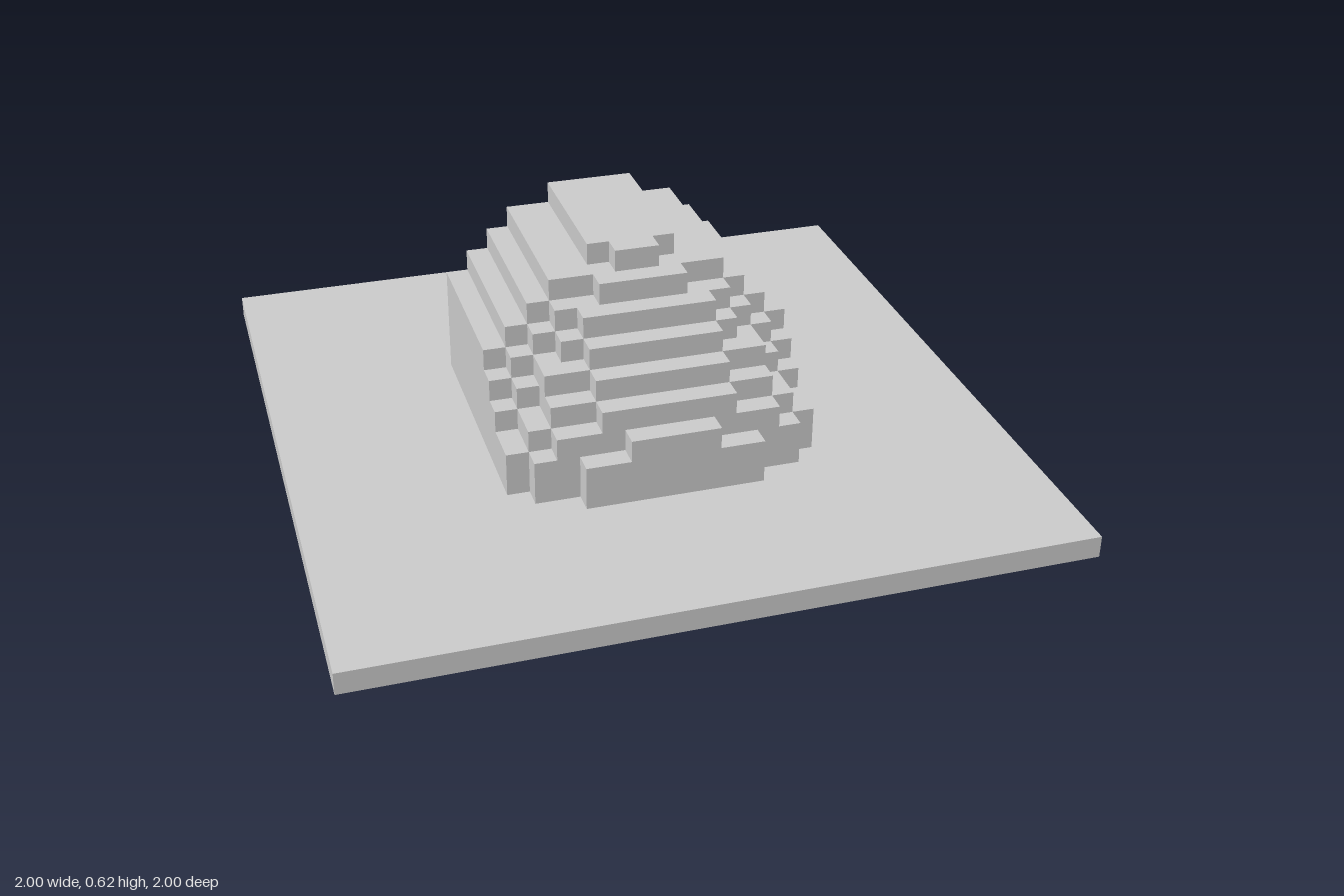
import * as THREE from 'three';
import { mergeGeometries } from 'three/addons/utils/BufferGeometryUtils.js';

const U = 1 / 16; // edge of one block
const BACK = -6, FRONT = 8, HALF = 7;

// Dome heights in blocks, from the middle outward, one row per step in z
const VAULT = [10, 10, 9, 9, 8, 7, 6];
const NOSE = [
  [10, 9, 9, 9, 8, 7, 6],
  [9, 9, 8, 8, 7, 6, 5],
  [8, 8, 8, 7, 6, 5, 4],
  [7, 7, 7, 6, 6, 4, 3],
  [6, 6, 6, 5, 5, 4, 3],
  [5, 5, 5, 4, 4, 3, 0],
  [4, 4, 3, 3, 0, 0, 0],
];

function height(x, z) {
  const i = x < 0 ? -x - 1 : x;
  if (i >= HALF || z >= FRONT || z < BACK) return 0;
  return z < 1 ? VAULT[i] : NOSE[z - 1][i];
}

const inside = (x, y, z) => y < height(x, z);

// A block belongs to the shell if it touches the air outside the dome
function isShell(x, y, z) {
  if (y < 1 || !inside(x, y, z)) return false;
  return !inside(x + 1, y, z) || !inside(x - 1, y, z) ||
    !inside(x, y + 1, z) || !inside(x, y, z + 1);
}

// Only the exposed sides of the blocks are built
function shellGeometry() {
  const dirs = [[1, 0, 0], [-1, 0, 0], [0, 1, 0], [0, -1, 0], [0, 0, 1], [0, 0, -1]];
  const forward = new THREE.Vector3(0, 0, 1);
  const sides = dirs.map((d) => {
    const n = new THREE.Vector3(...d);
    const turn = new THREE.Quaternion().setFromUnitVectors(forward, n);
    return new THREE.PlaneGeometry(U, U).applyQuaternion(turn)
      .translate(n.x * U / 2, n.y * U / 2, n.z * U / 2);
  });
  const faces = [];
  for (let x = -HALF; x < HALF; x++)
    for (let z = BACK; z < FRONT; z++)
      for (let y = 1; y < height(x, z); y++) {
        if (!isShell(x, y, z)) continue;
        dirs.forEach(([dx, dy, dz], k) => {
          if (isShell(x + dx, y + dy, z + dz)) return;
          faces.push(sides[k].clone().translate((x + 0.5) * U, (y + 0.5) * U, (z + 0.5) * U));
        });
      }
  return mergeGeometries(faces);
}

// Ground slab with a channel running from the back edge under the dome
function slabGeometry() {
  const outline = [
    [-16, -16], [16, -16], [16, 16], [5, 16], [5, -6], [4, -6], [4, -7],
    [-4, -7], [-4, -6], [-5, -6], [-5, 16], [-16, 16],
  ];
  const shape = new THREE.Shape(outline.map(([x, y]) => new THREE.Vector2(x * U, y * U)));
  return new THREE.ExtrudeGeometry(shape, { depth: U, bevelEnabled: false }).rotateX(-Math.PI / 2);
}

export function createModel() {
  const group = new THREE.Group();
  const material = new THREE.MeshStandardMaterial({ color: 0xcccccc, flatShading: true });
  const add = (name, geometry) => {
    const mesh = new THREE.Mesh(geometry, material);
    mesh.name = name;
    group.add(mesh);
    return mesh;
  };

  add('groundSlab', slabGeometry());
  add('domeShell', shellGeometry());

  // Upright bars across the open back
  for (const x of [-5, -3, 0, 2, 4]) {
    const tall = height(x, BACK) - 2;
    add('gateBar', new THREE.BoxGeometry(U, tall * U, U))
      .position.set((x + 0.5) * U, (1 + tall / 2) * U, (BACK + 0.5) * U);
  }
  return group;
}
